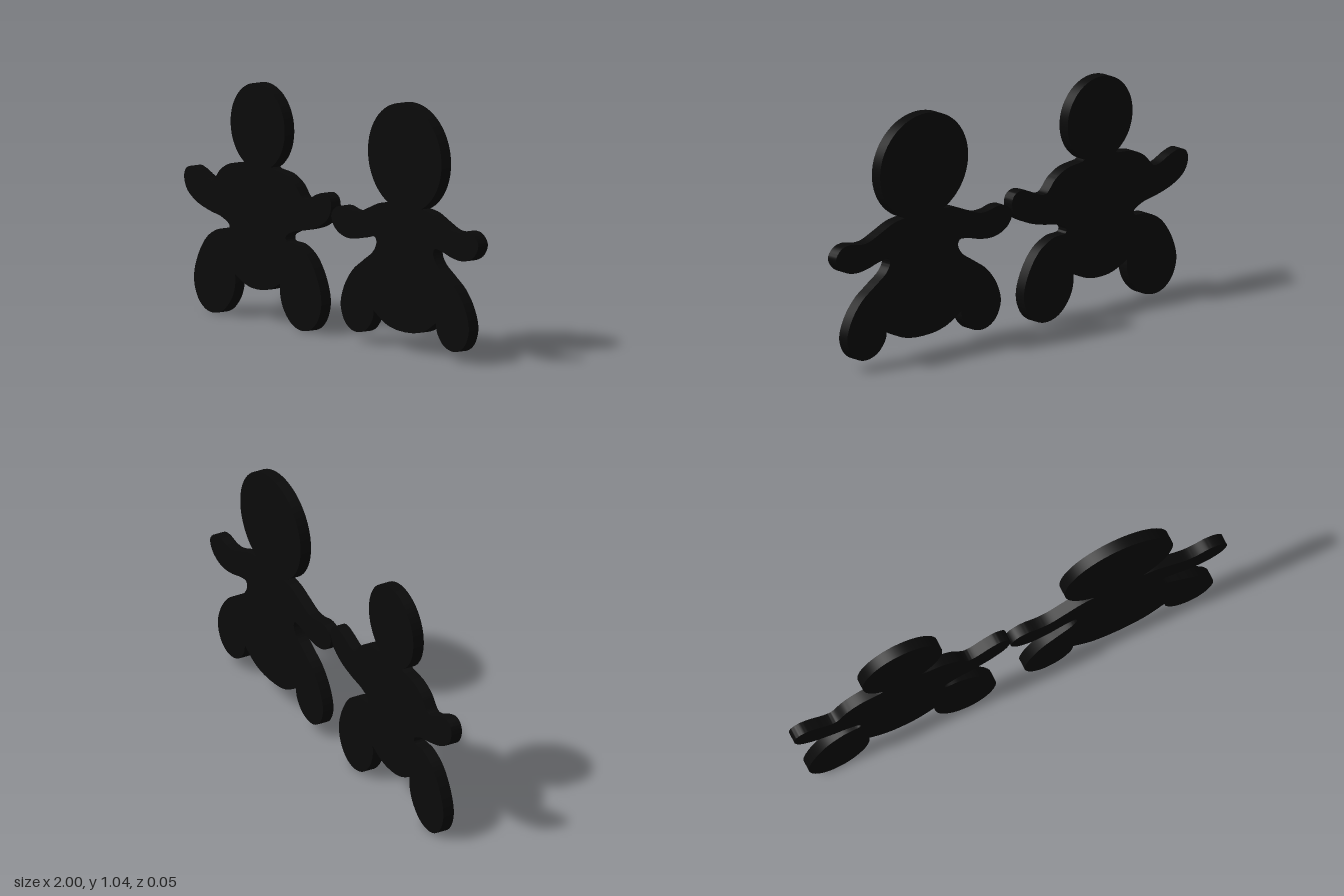
import * as THREE from 'three';
import { toCreasedNormals } from 'three/addons/utils/BufferGeometryUtils.js';

const THICKNESS = 0.05;

// Smooth run of 2D points through a few control points
function smooth(points) {
  const curve = new THREE.CatmullRomCurve3(points.map(([x, y]) => new THREE.Vector3(x, y, 0)));
  return curve.getPoints(points.length * 6).map((p) => new THREE.Vector2(p.x, p.y));
}

// Flat figure: an elliptical head on a mirrored half outline (limbs, then belly)
function makeFigure({ name, x, head, limbs, belly }, material) {
  const half = [...smooth(limbs), ...smooth(belly).slice(1)];
  const mirrored = half.slice(0, -1).reverse().map((p) => new THREE.Vector2(-p.x, p.y));

  // Head arc from the left of the neck over the top to the right
  const a = Math.asin(head.neck / head.rx);
  const arc = [];
  for (let i = 0; i <= 72; i++) {
    const t = -Math.PI / 2 - a - (i / 72) * (2 * Math.PI - 2 * a);
    arc.push(new THREE.Vector2(head.rx * Math.cos(t), head.y + head.ry * Math.sin(t)));
  }

  const shape = new THREE.Shape([...half, ...mirrored, ...arc]);
  const geometry = new THREE.ExtrudeGeometry(shape, { depth: THICKNESS, bevelEnabled: false });
  geometry.translate(0, 0, -THICKNESS / 2);
  const mesh = new THREE.Mesh(toCreasedNormals(geometry, 0.6), material);
  mesh.name = name;
  mesh.position.x = x;
  return mesh;
}

// Round-headed, slimmer figure
const smallFigure = {
  name: 'smallHeadFigure',
  x: -0.5,
  head: { y: 0.818, rx: 0.184, ry: 0.182, neck: 0.088 },
  limbs: [
    [0.1, 0.652], [0.19, 0.64], [0.254, 0.607], [0.304, 0.556], [0.334, 0.556], [0.404, 0.586],
    [0.452, 0.597], [0.488, 0.582], [0.5, 0.548], [0.479, 0.495], [0.414, 0.452],
    [0.324, 0.425], [0.243, 0.409], [0.192, 0.382], [0.195, 0.364], [0.265, 0.356],
    [0.345, 0.313], [0.409, 0.222], [0.433, 0.131], [0.409, 0.056], [0.361, 0.013],
    [0.302, 0], [0.233, 0.019], [0.174, 0.078], [0.152, 0.14], [0.153, 0.179],
  ],
  belly: [[0.153, 0.179], [0.094, 0.151], [0.045, 0.138], [0, 0.135]],
};

// Wide-headed, broad-hipped figure
const largeFigure = {
  name: 'largeHeadFigure',
  x: 0.5,
  head: { y: 0.816, rx: 0.25, ry: 0.227, neck: 0.09 },
  limbs: [
    [0.107, 0.613], [0.171, 0.604], [0.246, 0.575], [0.316, 0.549], [0.364, 0.548],
    [0.422, 0.559], [0.471, 0.548], [0.5, 0.511], [0.481, 0.468], [0.439, 0.441],
    [0.385, 0.43], [0.32, 0.436], [0.257, 0.452], [0.203, 0.457], [0.193, 0.436],
    [0.213, 0.398], [0.283, 0.35], [0.353, 0.302], [0.412, 0.227], [0.436, 0.147],
    [0.412, 0.083], [0.37, 0.051], [0.321, 0.043], [0.262, 0.061], [0.219, 0.11],
    [0.211, 0.147],
  ],
  belly: [[0.211, 0.147], [0.134, 0.104], [0.065, 0.087], [0, 0.083]],
};

export function createModel() {
  const group = new THREE.Group();
  group.name = 'figurePair';
  const material = new THREE.MeshStandardMaterial({ color: 0x0a0a0a });
  group.add(makeFigure(smallFigure, material), makeFigure(largeFigure, material));
  return group;
}
